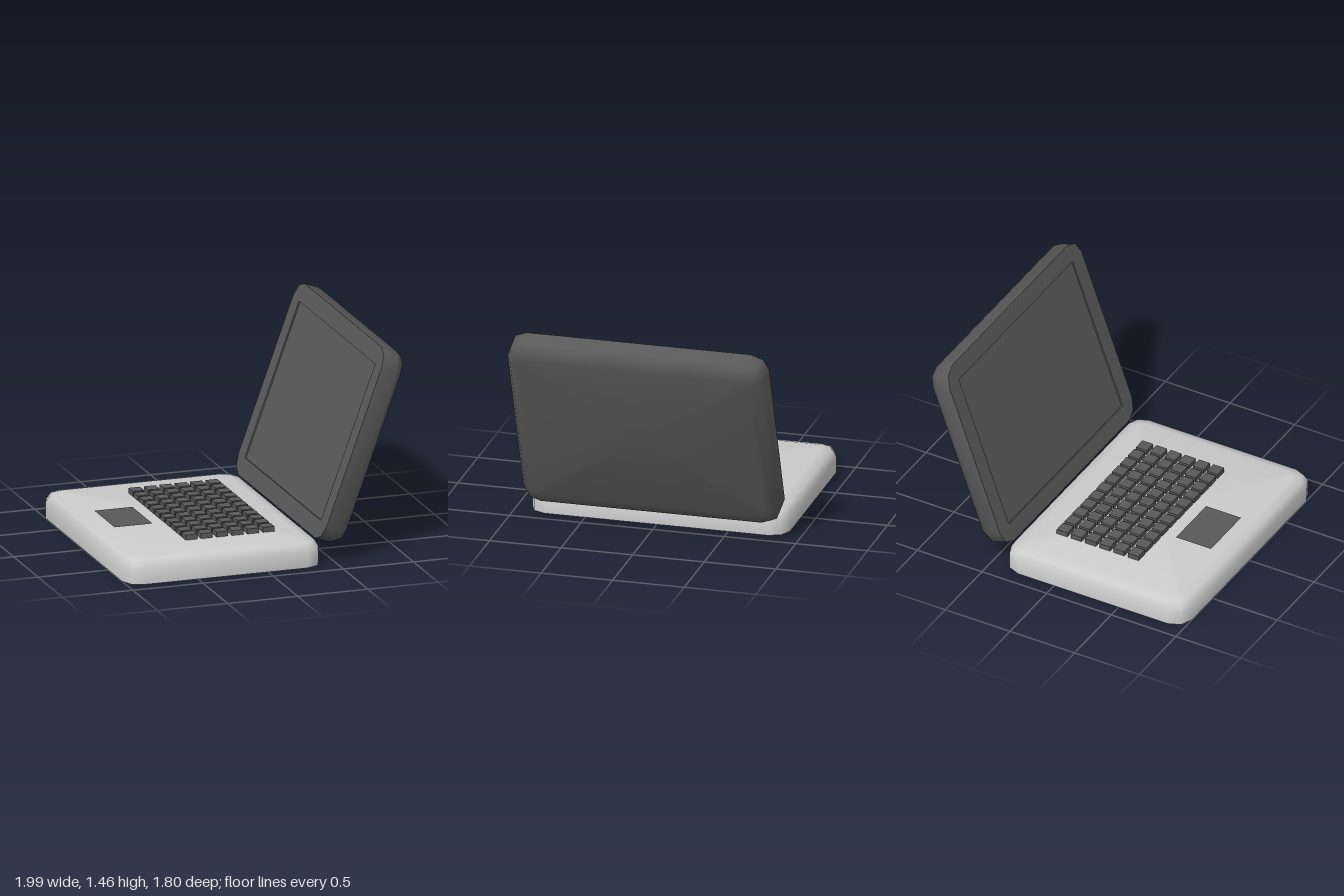
import * as THREE from 'three';
import { toCreasedNormals } from 'three/addons/utils/BufferGeometryUtils.js';

const light = new THREE.MeshStandardMaterial({ color: 0xcccccc });
const dark = new THREE.MeshStandardMaterial({ color: 0x595959 });
const padMaterial = new THREE.MeshStandardMaterial({ color: 0x595959, side: THREE.DoubleSide });

// Rectangle outline with two-facet corners
function outline(w, d, y, inset, r) {
  const pts = [];
  const corners = [[1, 1], [-1, 1], [-1, -1], [1, -1]];
  corners.forEach(([sx, sz], q) => {
    for (let k = 0; k < 3; k++) {
      const a = (q + k / 2) * Math.PI / 2;
      pts.push([
        sx * (w / 2 - inset - r) + r * Math.cos(a),
        y,
        sz * (d / 2 - inset - r) + r * Math.sin(a),
      ]);
    }
  });
  return pts;
}

// Slab lofted through [height, inset, corner radius] rings and capped at both ends
function slab(w, d, profile) {
  const rings = profile.map(([y, inset, r]) => outline(w, d, y, inset, r));
  const n = rings[0].length;
  const pos = [];
  const tri = (...p) => p.forEach((v) => pos.push(...v));
  const bottom = [0, profile[0][0], 0];
  const top = [0, profile[profile.length - 1][0], 0];
  for (let j = 0; j < n; j++) {
    const k = (j + 1) % n;
    tri(bottom, rings[0][j], rings[0][k]);
    for (let i = 0; i < rings.length - 1; i++) {
      const lo = rings[i], hi = rings[i + 1];
      tri(lo[j], hi[j], lo[k]);
      tri(hi[j], hi[k], lo[k]);
    }
    const last = rings[rings.length - 1];
    tri(top, last[k], last[j]);
  }
  const geo = new THREE.BufferGeometry();
  geo.setAttribute('position', new THREE.Float32BufferAttribute(pos, 3));
  return toCreasedNormals(geo, 0.9);
}

export function createModel() {
  const model = new THREE.Group();
  model.name = 'laptop';
  const add = (name, geo, mat, x, y, z, parent = model) => {
    const mesh = new THREE.Mesh(geo, mat);
    mesh.name = name;
    mesh.position.set(x, y, z);
    parent.add(mesh);
    return mesh;
  };

  // Shared shell: flat open side, softened outer side
  const shell = [[0, 0, 0.12], [0.11, 0, 0.12], [0.16, 0.03, 0.1], [0.18, 0.1, 0.05]];
  add('base', slab(1.4, 1.8, shell), light, -0.3, 0, 0);

  // Lid leans back 20 degrees, with a shallow recessed screen
  const recess = [[0.01, 0.125, 0.005], [0, 0.125, 0.005]];
  const lid = add('lid', slab(1.38, 1.8, [...recess, ...shell]), dark, 0.612, 0.816, 0);
  lid.rotation.z = THREE.MathUtils.degToRad(-110);

  // Trackpad: a thin sheet just above the base
  const pad = new THREE.PlaneGeometry(0.27, 0.41).rotateX(-Math.PI / 2);
  add('trackpad', pad, padMaterial, -0.705, 0.19, -0.035);

  // Keyboard grid
  const keyboard = new THREE.Group();
  keyboard.name = 'keyboard';
  model.add(keyboard);
  const key = new THREE.BoxGeometry(0.082, 0.04, 0.088);
  for (let c = 0; c < 6; c++) {
    for (let r = 0; r < 11; r++) {
      add('key', key, dark, -0.435 + c * 0.11, 0.195, -0.543 + r * 0.108, keyboard);
    }
  }
  return model;
}
